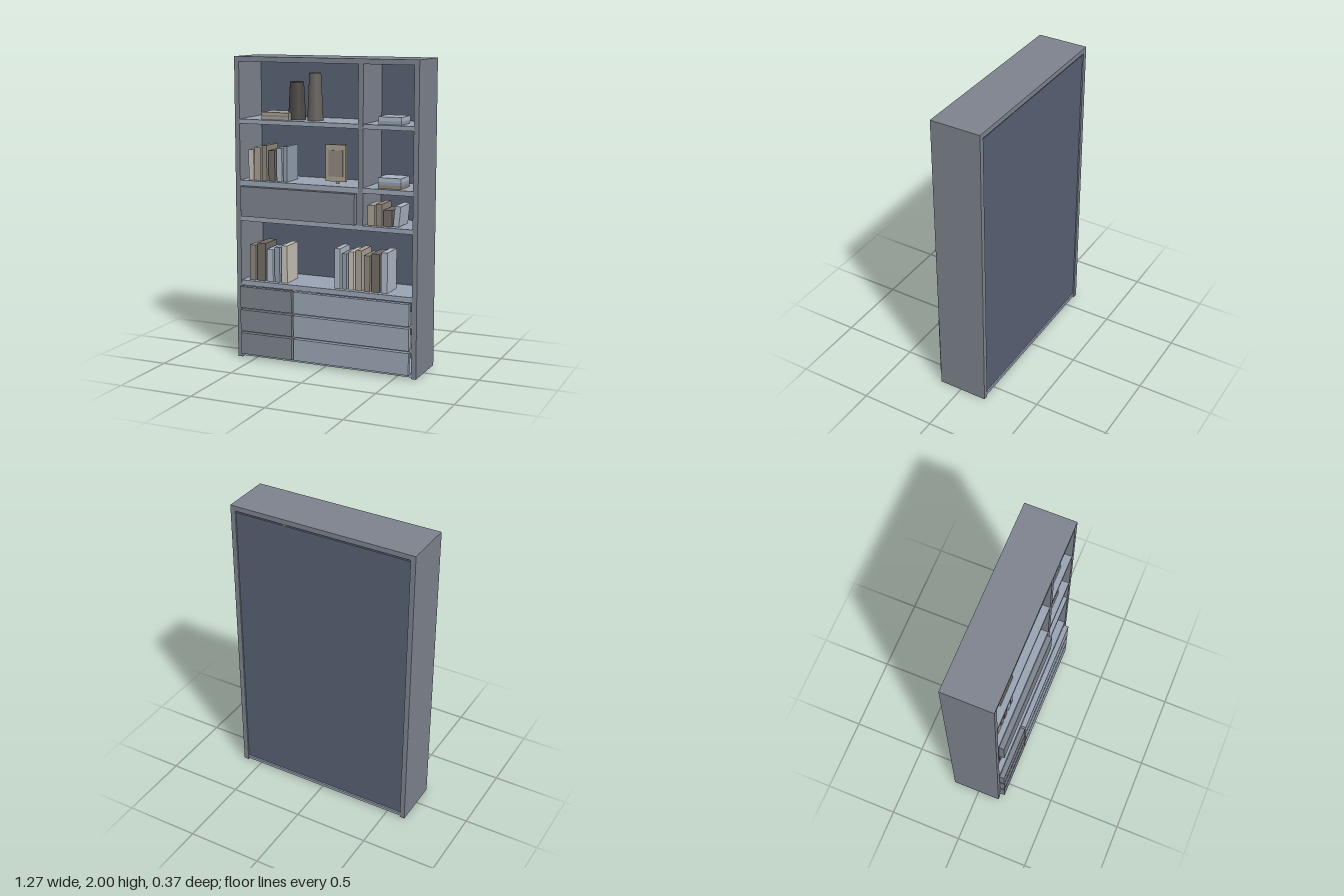
import * as THREE from 'three';

const material = (color) => new THREE.MeshStandardMaterial({ color });
const M = {
  frame: material(0x7c828c), board: material(0x98a2b2), back: material(0x566072),
  cream: material(0xc4beb4), tan: material(0xa69d92), taupe: material(0x8c857b),
  brown: material(0x6f6a65), ice: material(0xaab5c2), steel: material(0x8f9caa),
  vaseDark: material(0x4a4745), vaseLight: material(0x66625e),
};

// Box given by its limits on each axis
function box(parent, name, mat, [x0, x1], [y0, y1], [z0, z1]) {
  const mesh = new THREE.Mesh(new THREE.BoxGeometry(x1 - x0, y1 - y0, z1 - z0), mat);
  mesh.position.set((x0 + x1) / 2, (y0 + y1) / 2, (z0 + z1) / 2);
  mesh.name = name;
  parent.add(mesh);
  return mesh;
}

function group(parent, name) {
  const g = new THREE.Group();
  g.name = name;
  parent.add(g);
  return g;
}

const BOOK_Z = [-0.05, 0.115];

// Upright books: [left, right, height, colour]
function bookRow(parent, name, base, books) {
  const row = group(parent, name);
  return books.map(([x0, x1, h, c]) => box(row, 'book', M[c], [x0, x1], [base, base + h], BOOK_Z));
}

// Flat books piled up: [thickness, colour]
function bookStack(parent, name, x, base, layers) {
  const stack = group(parent, name);
  let y = base;
  layers.forEach(([t, c]) => {
    box(stack, 'flatBook', M[c], x, [y, y + t], [-0.04, 0.113]);
    y += t;
  });
}

function vase(parent, mat, x, base, rTop, rBottom, h) {
  const mesh = new THREE.Mesh(new THREE.CylinderGeometry(rTop, rBottom, h, 32), mat);
  mesh.position.set(x, base + h / 2, 0.025);
  mesh.name = 'vase';
  parent.add(mesh);
}

export function createModel() {
  const root = new THREE.Group();
  root.name = 'bookcase';

  // Outer case
  const Z = [-0.183, 0.152];
  const IN = [-0.6, 0.6];
  const SHELF_Z = [-0.17, 0.15];
  const carcass = group(root, 'carcass');
  for (const s of [-1, 1]) {
    box(carcass, 'sidePanel', M.frame, s < 0 ? [-0.633, -0.6] : [0.6, 0.633], [0, 2], Z);
  }
  box(carcass, 'topBoard', M.frame, IN, [1.967, 2], Z);
  box(carcass, 'bottomBoard', M.board, IN, [0.01, 0.03], [-0.18, 0.15]);
  box(carcass, 'backPanel', M.back, IN, [0.035, 1.953], [-0.174, -0.16]);

  // Shelves and the upright between the wide and narrow bays
  for (const [y0, y1] of [[1.568, 1.597], [1.165, 1.197], [0.927, 0.957], [0.493, 0.527]]) {
    box(carcass, 'shelf', M.board, IN, [y0, y1], SHELF_Z);
  }
  box(carcass, 'upright', M.frame, [0.233, 0.267], [0.957, 1.967], [-0.173, 0.1515]);

  // Drawer bank: three rows of one narrow and one wide drawer
  const drawers = group(root, 'drawers');
  box(drawers, 'drawerDivider', M.board, [-0.227, -0.2], [0.03, 0.493], SHELF_Z);
  for (let i = 0; i < 3; i++) {
    const y = [0.03 + i * 0.158, 0.174 + i * 0.158];
    box(drawers, 'narrowDrawerFront', M.frame, [-0.595, -0.22], y, [0.15, 0.183]);
    box(drawers, 'wideDrawerFront', M.board, [-0.207, 0.593], y, [0.15, 0.183]);
    if (i < 2) box(drawers, 'drawerRail', M.board, IN, [y[1] - 0.008, y[1] + 0.022], [-0.155, 0.148]);
  }

  // Closed cupboard in the wide bay
  const cupboard = group(root, 'cupboard');
  box(cupboard, 'cupboardBody', M.frame, [-0.6, 0.233], [0.957, 1.165], [-0.155, 0.148]);
  box(cupboard, 'cupboardDoor', M.frame, [-0.583, 0.222], [0.963, 1.16], [0.148, 0.183]);

  // Top shelf
  vase(root, M.vaseDark, -0.246, 1.597, 0.045, 0.058, 0.243);
  vase(root, M.vaseLight, -0.117, 1.597, 0.038, 0.052, 0.302);
  bookStack(root, 'topLeftBooks', [-0.46, -0.265], 1.597, [[0.018, 'tan'], [0.012, 'taupe'], [0.017, 'tan']]);
  bookStack(root, 'topRightBooks', [0.352, 0.506], 1.597, [[0.022, 'steel'], [0.026, 'ice']]);

  // Second shelf
  bookRow(root, 'middleBooks', 1.197, [
    [-0.556, -0.519, 0.2, 'cream'], [-0.513, -0.469, 0.217, 'tan'], [-0.458, -0.424, 0.231, 'taupe'],
    [-0.41, -0.366, 0.2, 'brown'], [-0.352, -0.315, 0.217, 'ice'], [-0.305, -0.278, 0.231, 'steel'],
  ]);
  bookStack(root, 'middleRightBooks', [0.352, 0.506], 1.197, [[0.023, 'taupe'], [0.018, 'steel'], [0.027, 'ice']]);

  // Standing picture frame
  const picture = group(root, 'pictureFrame');
  box(picture, 'frameBorder', M.tan, [-0.028, 0.11], [1.213, 1.45], [0.035, 0.062]);
  box(picture, 'framePanel', M.taupe, [-0.008, 0.092], [1.245, 1.414], [0.06, 0.066]);
  box(picture, 'frameStand', M.tan, [0.031, 0.051], [1.197, 1.3], [0.02, 0.036]);

  // Narrow bay, the last book leaning
  const small = bookRow(root, 'smallBooks', 0.957, [
    [0.283, 0.331, 0.13, 'tan'], [0.342, 0.381, 0.14, 'taupe'], [0.392, 0.45, 0.105, 'brown'],
    [0.463, 0.501, 0.13, 'ice'],
  ]);
  small[3].rotation.z = -0.1;
  small[3].position.y += 0.004;

  // Shelf above the drawers
  bookRow(root, 'lowerLeftBooks', 0.527, [
    [-0.556, -0.511, 0.236, 'taupe'], [-0.5, -0.44, 0.252, 'brown'], [-0.429, -0.384, 0.217, 'ice'],
    [-0.373, -0.336, 0.233, 'steel'], [-0.323, -0.281, 0.249, 'cream'],
  ]);
  bookRow(root, 'lowerRightBooks', 0.527, [
    [0.056, 0.095, 0.262, 'ice'], [0.109, 0.14, 0.233, 'steel'], [0.154, 0.191, 0.249, 'cream'],
    [0.204, 0.246, 0.262, 'tan'], [0.262, 0.302, 0.233, 'taupe'], [0.313, 0.368, 0.249, 'brown'],
    [0.379, 0.421, 0.262, 'ice'],
  ]);

  return root;
}
